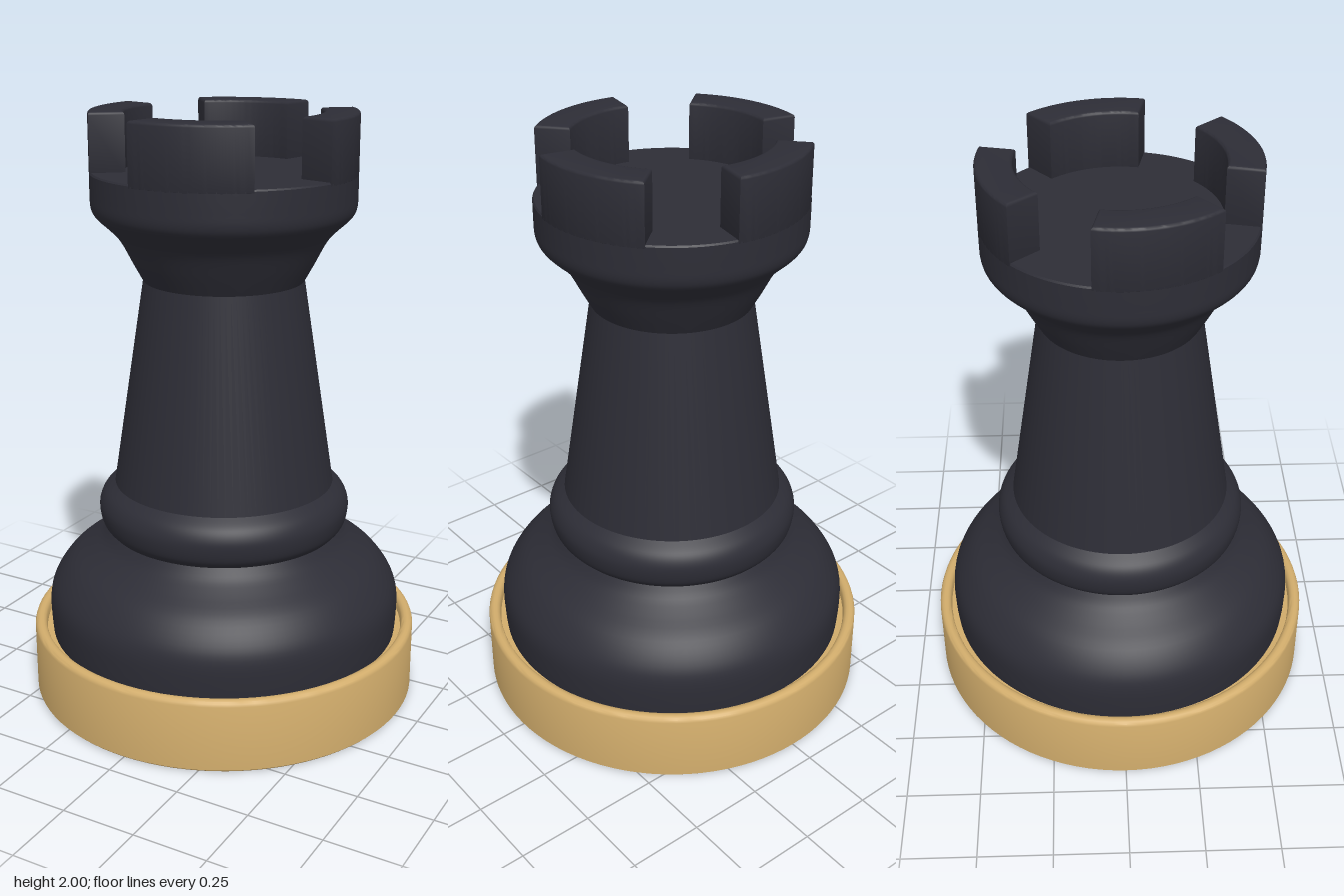
import * as THREE from 'three';
import { toCreasedNormals } from 'three/addons/utils/BufferGeometryUtils.js';

const SEGMENTS = 96;
const vec = ([x, y]) => new THREE.Vector2(x, y);

export function createModel() {
  const model = new THREE.Group();
  model.name = 'rook';

  const dark = new THREE.MeshStandardMaterial({ color: 0x2d2d36 });
  dark.name = 'charcoal';
  const wood = new THREE.MeshStandardMaterial({ color: 0xd2ad6c });
  wood.name = 'golden wood';

  const add = (name, geometry, material) => {
    const mesh = new THREE.Mesh(geometry, material);
    mesh.name = name;
    model.add(mesh);
    return mesh;
  };
  // Turned part: straight profile with creased edges, or a smooth curve through the points
  const turned = (points) => toCreasedNormals(new THREE.LatheGeometry(points.map(vec), SEGMENTS), 0.6);
  const turnedCurve = (points) =>
    new THREE.LatheGeometry(new THREE.SplineCurve(points.map(vec)).getPoints(28), SEGMENTS);

  // Base ring with a rounded rim and a shallow groove inside
  add('base', turned([
    [0, 0], [0.664, 0], [0.67, 0.006], [0.67, 0.232], [0.667, 0.241], [0.661, 0.247], [0.652, 0.25],
    [0.642, 0.249], [0.634, 0.244], [0.63, 0.235], [0.628, 0.215], [0.6, 0.21], [0, 0.21],
  ]), wood);

  // Bulging foot
  add('foot', turnedCurve([
    [0.605, 0.2], [0.61, 0.26], [0.61, 0.34], [0.59, 0.4], [0.54, 0.465], [0.47, 0.515], [0.425, 0.55], [0.398, 0.585],
  ]), dark);

  // Rounded collar
  add('collar', turnedCurve([
    [0.398, 0.583], [0.42, 0.61], [0.43, 0.65], [0.428, 0.685], [0.41, 0.72], [0.372, 0.752],
  ]), dark);

  // Tapering shaft
  add('shaft', turned([[0.376, 0.745], [0.267, 1.455]]), dark);

  // Flared head
  add('head', turnedCurve([
    [0.267, 1.45], [0.3, 1.51], [0.34, 1.585], [0.375, 1.625], [0.418, 1.665], [0.433, 1.695], [0.435, 1.74], [0.435, 1.805],
  ]), dark);
  add('headFloor', turned([[0.435, 1.803], [0.43, 1.81], [0, 1.81]]), dark);

  // Four battlements with softened edges
  const bevel = 0.01;
  const half = THREE.MathUtils.degToRad(26.8);
  const outer = 0.435 - bevel, inner = 0.32 + bevel;
  const trimOuter = half - bevel / outer, trimInner = half - bevel / inner;
  const shape = new THREE.Shape();
  shape.absarc(0, 0, outer, -trimOuter, trimOuter, false);
  shape.absarc(0, 0, inner, trimInner, -trimInner, true);
  const block = new THREE.ExtrudeGeometry(shape, {
    depth: 0.2 - bevel, bevelEnabled: true, bevelThickness: bevel, bevelSize: bevel, bevelSegments: 3, curveSegments: 20,
  });
  block.rotateX(-Math.PI / 2);
  const battlement = toCreasedNormals(block, 0.7);
  for (let i = 0; i < 4; i++) {
    const mesh = add(`battlement${i + 1}`, battlement, dark);
    mesh.position.y = 1.8;
    mesh.rotation.y = THREE.MathUtils.degToRad(14.3 + i * 90);
  }
  return model;
}
